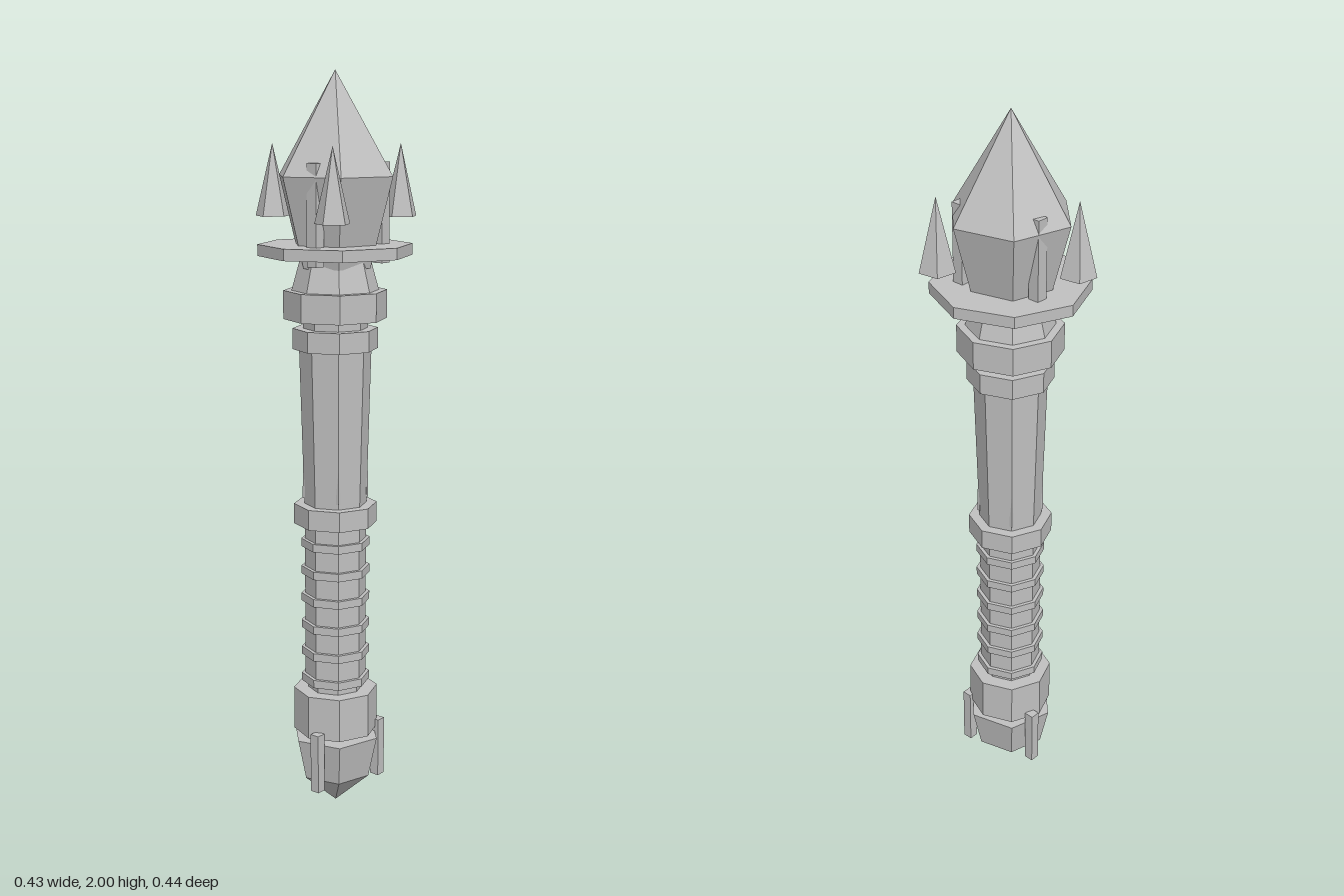
import * as THREE from 'three';

export function createModel() {
  const root = new THREE.Group();
  root.name = 'mace';
  const grey = new THREE.MeshStandardMaterial({ color: 0xc0c0c0, flatShading: true });
  grey.name = 'stone grey';

  // The shaft axis sits slightly off the origin
  const axis = new THREE.Group();
  axis.name = 'shaftAxis';
  axis.position.set(-0.012, 0, -0.016);
  root.add(axis);

  // Faceted section between two heights; radii at bottom and top
  const section = (name, y0, y1, r0, r1 = r0, sides = 8, x = 0, z = 0, parent = axis) => {
    const mesh = new THREE.Mesh(new THREE.CylinderGeometry(r1, r0, y1 - y0, sides), grey);
    mesh.name = name;
    mesh.position.set(x, (y0 + y1) / 2, z);
    parent.add(mesh);
    return mesh;
  };

  // Crystals turned from a few profile points, six sides
  const crystal = (name, points) => {
    const profile = points.map(([r, y]) => new THREE.Vector2(r, y));
    const mesh = new THREE.Mesh(new THREE.LatheGeometry(profile, 6), grey);
    mesh.name = name;
    axis.add(mesh);
  };
  crystal('pommelCrystal', [[0, 0], [0.1, 0.09], [0.125, 0.205], [0, 0.205]]);
  crystal('headCrystal', [[0, 1.5], [0.1, 1.5], [0.162, 1.735], [0, 2]]);

  // Lower cap and grip
  section('lowerCap', 0.22, 0.34, 0.115);
  section('lowerNeck', 0.34, 0.365, 0.075);
  section('grip', 0.36, 0.77, 0.083);
  for (let i = 0; i < 6; i++) {
    const y = 0.36 + i * 0.077;
    section('gripBand', y, y + 0.022, 0.093);
  }
  section('gripNeck', 0.765, 0.815, 0.083);

  // Shaft with its collars
  section('middleCollar', 0.81, 0.865, 0.112);
  section('shaft', 0.865, 1.285, 0.084, 0.096);
  for (let i = 0; i < 4; i++) {
    const a = (i * Math.PI) / 2;
    section('shaftInlay', 0.88, 1.02, 0.006, 0.003, 4, 0.083 * Math.cos(a), 0.083 * Math.sin(a));
  }
  section('upperCollar', 1.285, 1.34, 0.113);
  section('upperNeck', 1.34, 1.365, 0.085);
  section('headCollar', 1.365, 1.44, 0.137);
  section('headNeck', 1.44, 1.53, 0.115, 0.09);
  section('headRing', 1.53, 1.56, 0.203);

  // Three claws around each crystal
  for (let i = 0; i < 3; i++) {
    const a = (i * 2 * Math.PI) / 3;
    const c = Math.cos(a), s = Math.sin(a);
    section('headClaw', 1.51, 1.77, 0.022, 0.022, 4, 0.12 * c, 0.12 * s);
    section('pommelClaw', 0.075, 0.24, 0.019, 0.019, 4, 0.117 * c, 0.117 * s);
  }

  // Floating five-sided shards beside the head
  for (const [x, z] of [[-0.168, -0.133], [0.168, -0.091], [-0.036, 0.178]]) {
    section('floatingShard', 1.625, 1.815, 0.047, 0, 5, x, z, root).rotation.y = Math.PI;
  }
  return root;
}
